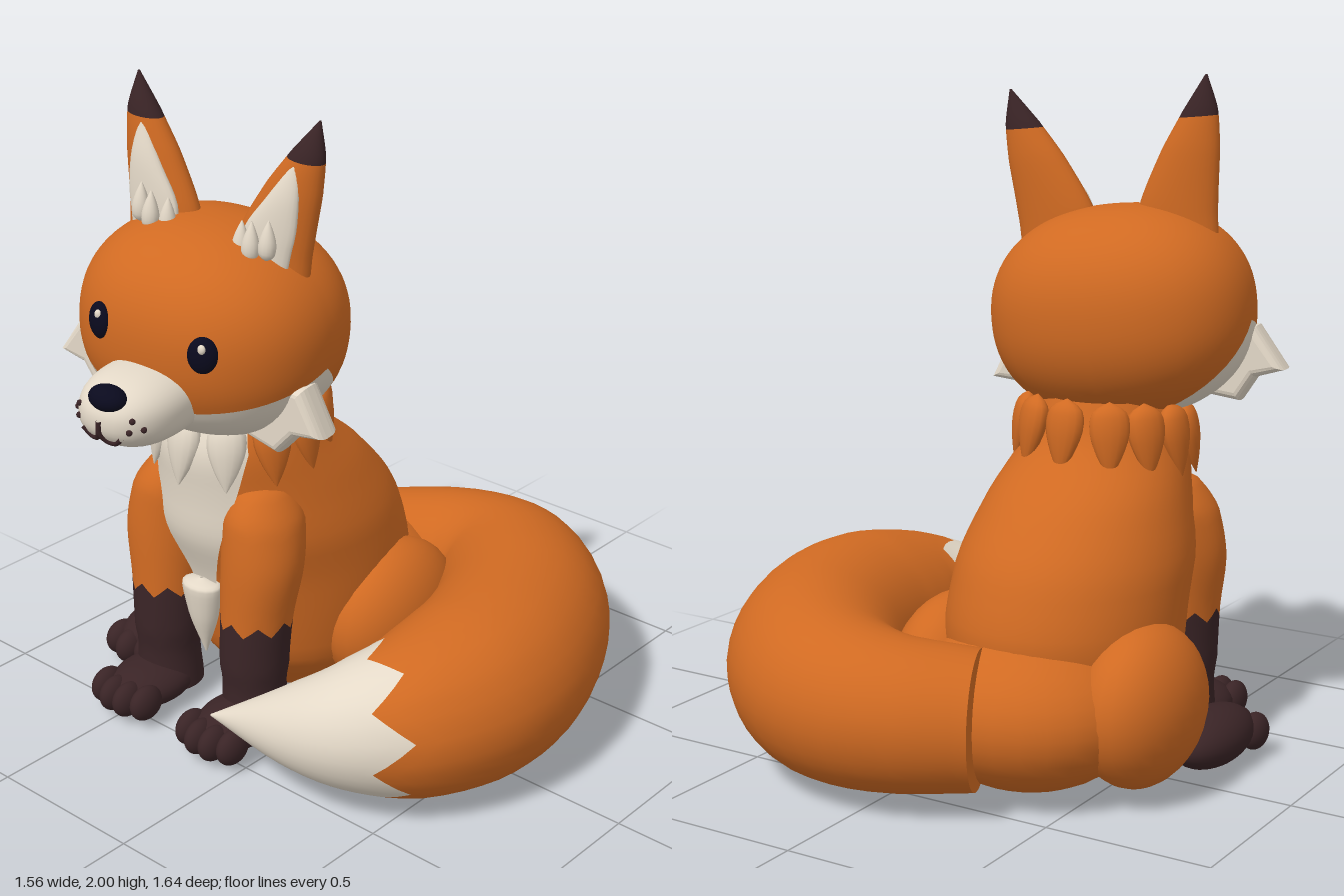
import * as THREE from 'three';
import { mergeVertices } from 'three/addons/utils/BufferGeometryUtils.js';

const V = (x, y, z) => new THREE.Vector3(x, y, z);
const CX = -0.295; // body axis
const { lerp, clamp } = THREE.MathUtils;

// Smooth grid surface: point(u, v), with v running between lo(u) and hi(u)
function surf(point, nu, nv, lo = () => 0, hi = () => 1) {
  const pos = [], idx = [];
  for (let j = 0; j <= nv; j++) for (let i = 0; i <= nu; i++) {
    const u = i / nu;
    pos.push(...point(u, lerp(lo(u), hi(u), j / nv)).toArray());
    if (i < nu && j < nv) {
      const a = j * (nu + 1) + i, b = a + nu + 1;
      idx.push(a, a + 1, b + 1, a, b + 1, b);
    }
  }
  let g = new THREE.BufferGeometry();
  g.setAttribute('position', new THREE.Float32BufferAttribute(pos, 3));
  g.setIndex(idx);
  g = mergeVertices(g, 1e-5);
  g.computeVertexNormals();
  return g;
}

// Upright loft through oval rings [y, cx, cz, rx, rz]
function loft(rings) {
  const mid = new THREE.CatmullRomCurve3(rings.map(r => V(r[1], r[0], r[2])));
  const rad = new THREE.CatmullRomCurve3(rings.map(r => V(r[3], 0, r[4])));
  return (u, v, k = 1) => {
    const a = u * Math.PI * 2, r = rad.getPoint(v);
    return mid.getPoint(v).add(V(Math.sin(a) * r.x * k, 0, Math.cos(a) * r.z * k));
  };
}

// Slightly squared ellipsoid, by azimuth and elevation
function superEllipsoid(c, r, p) {
  return (a, e) => {
    const d = V(Math.sin(a) * Math.cos(e), Math.sin(e), Math.cos(a) * Math.cos(e));
    const n = (Math.abs(d.x) ** p + Math.abs(d.y) ** p + Math.abs(d.z) ** p) ** (1 / p);
    return d.divideScalar(n).multiply(r).add(c);
  };
}

const zigzag = (u, n) => Math.abs(((u * n) % 1) * 2 - 1);

function table(rows, x) {
  const i = Math.max(1, rows.findIndex(r => r[0] >= x));
  const [a, b] = [rows[i - 1], rows[i]];
  return lerp(a[1], b[1], (x - a[0]) / (b[0] - a[0]));
}

export function createModel() {
  const mat = (name, color) => {
    const m = new THREE.MeshStandardMaterial({ color, side: THREE.DoubleSide });
    m.name = name;
    return m;
  };
  const orange = mat('orange fur', 0xd06a22), cream = mat('cream fur', 0xe4d9c8);
  const dark = mat('dark brown fur', 0x3a2426), black = mat('eye black', 0x0a0a1e);

  const root = new THREE.Group();
  root.name = 'fox';
  const head = new THREE.Group();
  head.name = 'head';
  head.position.set(CX, 1.31, 0.28);
  head.rotation.set(0, 0.17, -0.09);
  root.add(head);

  const add = (parent, name, geo, m) => {
    const mesh = new THREE.Mesh(geo, m);
    mesh.name = name;
    parent.add(mesh);
    return mesh;
  };
  const ball = (parent, name, m, x, y, z, rx, ry, rz) => {
    const b = add(parent, name, new THREE.SphereGeometry(1, 28, 18), m);
    b.position.set(x, y, z);
    b.scale.set(rx, ry, rz);
    return b;
  };

  // Torso and chest bib
  const torso = loft([
    [0.05, CX, -0.04, 0.2, 0.2], [0.2, CX, -0.04, 0.31, 0.32], [0.45, CX, -0.045, 0.34, 0.385],
    [0.62, CX, 0.01, 0.335, 0.39], [0.8, CX, 0.09, 0.29, 0.33], [0.95, CX, 0.18, 0.24, 0.245],
    [1.08, CX, 0.18, 0.19, 0.18]]);
  add(root, 'torso', surf(torso, 40, 30), orange);
  add(root, 'chestBib', surf((u, v) => {
    const t = lerp(0.33, 1, v);
    const w = 0.12 + 0.73 * clamp((t - 0.33) / 0.5, 0, 1) ** 1.3;
    return torso((u - 0.5) * w / Math.PI, t, 1.035);
  }, 16, 24), cream);
  add(root, 'bellyTuft', surf(loft([[0.23, CX, 0.36, 0.003, 0.003], [0.36, CX, 0.365, 0.05, 0.04],
    [0.47, CX, 0.37, 0.07, 0.05], [0.49, CX, 0.37, 0.005, 0.005]]), 16, 14), cream);

  // Rump, thighs, legs and feet
  ball(root, 'rump', orange, CX, 0.25, -0.27, 0.35, 0.235, 0.315);
  for (const s of [-1, 1]) {
    const side = s > 0 ? 'left' : 'right';
    ball(root, side + 'Thigh', orange, CX + s * 0.31, 0.27, -0.15, 0.165, 0.235, 0.26);
    ball(root, side + 'HindFoot', dark, CX + s * 0.385, 0.1, 0.15, 0.1, 0.085, 0.19);
    for (const i of [-1, 0, 1])
      ball(root, side + 'HindToe', dark, CX + s * 0.385 + i * 0.064, 0.08, 0.32 - Math.abs(i) * 0.02, 0.04, 0.056, 0.06);

    const leg = loft([[0.06, 0.185, 0.34, 0.105, 0.105], [0.25, 0.185, 0.34, 0.105, 0.105],
      [0.42, 0.19, 0.33, 0.11, 0.11], [0.6, 0.2, 0.31, 0.125, 0.125], [0.73, 0.19, 0.29, 0.115, 0.13],
      [0.82, 0.175, 0.28, 0.07, 0.085], [0.85, 0.17, 0.28, 0.005, 0.005]]
      .map(r => [r[0], CX + s * r[1], ...r.slice(2)]));
    const cuff = u => 0.305 + 0.035 * zigzag(u, 8);
    add(root, side + 'FrontSock', surf(leg, 32, 12, undefined, cuff), dark);
    add(root, side + 'FrontLeg', surf(leg, 32, 20, cuff), orange);
    ball(root, side + 'FrontPaw', dark, CX + s * 0.185, 0.085, 0.42, 0.115, 0.07, 0.15);
    for (const i of [-1.5, -0.5, 0.5, 1.5])
      ball(root, side + 'FrontToe', dark, CX + s * 0.185 + i * 0.057, 0.08, 0.56 - Math.abs(i) * 0.02, 0.036, 0.056, 0.06);
  }

  // Neck ruff of pointed tufts
  const tuftShape = [[0.002, -0.11], [0.035, -0.05], [0.058, 0.02], [0.05, 0.08], [0.001, 0.11]];
  const tuftGeo = new THREE.LatheGeometry(
    new THREE.SplineCurve(tuftShape.map(p => new THREE.Vector2(...p))).getPoints(12), 14);
  for (const deg of [-148, -122, -95, -66, -34, 0, 34, 66, 95, 122, 148, 180]) {
    const a = deg * Math.PI / 180, front = Math.cos(a), white = Math.abs(deg) < 50;
    const t = add(root, white ? 'chestTuft' : 'ruffTuft', tuftGeo, white ? cream : orange);
    t.position.set(CX + Math.sin(a) * 0.245, 0.965 - 0.025 * front, 0.18 + front * 0.25);
    t.rotation.set(-0.2, a, 0, 'YXZ');
    t.scale.set(1, 1, 0.6);
  }

  // Tail, curling round the left side: [x, y, z, radius]
  const tailPts = [[-0.27, 0.26, -0.48, 0.2], [-0.03, 0.27, -0.58, 0.225], [0.17, 0.28, -0.55, 0.25],
    [0.36, 0.285, -0.37, 0.275], [0.48, 0.285, -0.1, 0.283], [0.5, 0.285, 0.1, 0.275],
    [0.45, 0.28, 0.3, 0.24], [0.34, 0.27, 0.43, 0.19], [0.2, 0.25, 0.51, 0.125], [-0.04, 0.22, 0.6, 0.003]];
  const tailMid = new THREE.CatmullRomCurve3(tailPts.map(p => V(p[0], p[1], p[2])));
  const tailRad = new THREE.CatmullRomCurve3(tailPts.map(p => V(p[3], 0, 0)));
  const tail = (u, v, k = 1) => {
    const a = u * Math.PI * 2, r = tailRad.getPoint(v).x * k, up = V(0, 1, 0);
    const out = tailMid.getTangent(v).setY(0).normalize().cross(up);
    return tailMid.getPoint(v).addScaledVector(up, Math.cos(a) * r).addScaledVector(out, Math.sin(a) * r);
  };
  const tailEdge = u => 0.69 + 0.05 * zigzag(u, 7);
  add(root, 'tail', surf(tail, 42, 26, undefined, tailEdge), orange);
  add(root, 'tailTip', surf(tail, 42, 14, tailEdge), cream);
  add(root, 'tailBase', surf((u, v) => tail(u, 0, v), 42, 1), orange);

  // Skull, with cream jaw and cheeks
  const skull = superEllipsoid(V(0, 0, 0), V(0.39, 0.315, 0.35), 2.25);
  const around = u => (u - 0.5) * Math.PI * 2;
  const skullPoint = (u, e) => skull(around(u), e);
  const jawRows = [[0, -0.5], [25, -0.46], [90, -0.13], [140, -1.03], [181, -1.25]];
  const jawEdge = u => table(jawRows, Math.abs(u - 0.5) * 360);
  add(head, 'skull', surf(skullPoint, 72, 30, jawEdge, () => Math.PI / 2), orange);
  add(head, 'jaw', surf(skullPoint, 72, 16, () => -Math.PI / 2, jawEdge), cream);

  // Muzzle, nose and mouth
  const muzzle = superEllipsoid(V(0, -0.13, 0.33), V(0.147, 0.105, 0.215), 2.4);
  add(head, 'muzzle', surf((u, e) => muzzle(around(u), e), 40, 24,
    () => -Math.PI / 2, () => Math.PI / 2), cream);
  ball(head, 'nose', black, 0, -0.065, 0.505, 0.058, 0.037, 0.045);

  for (const s of [-1, 1]) {
    const side = s > 0 ? 'left' : 'right';
    const lip = new THREE.CatmullRomCurve3(
      [[0, 0.1], [0.01, -0.25], [0.13, -0.5], [0.3, -0.52], [0.45, -0.3]].map(([a, e]) => muzzle(a * s, e)));
    add(head, side + 'Lip', new THREE.TubeGeometry(lip, 24, 0.008, 8), dark);
    for (const [a, e] of [[0.62, 0.22], [0.8, -0.02], [0.58, -0.08]]) {
      const p = muzzle(a * s, e);
      ball(head, side + 'WhiskerDot', dark, p.x, p.y, p.z, 0.009, 0.009, 0.009);
    }

    // Eyes
    ball(head, side + 'Eye', black, s * 0.175, 0.048, 0.315, 0.044, 0.055, 0.026).rotation.y = s * 0.4;
    ball(head, side + 'EyeShine', cream, s * 0.175 + 0.008, 0.075, 0.335, 0.012, 0.014, 0.009);

    // Cheek tufts
    const cheek = new THREE.Shape([[0.28, -0.08], [0.37, -0.09], [0.43, -0.185], [0.36, -0.195], [0.31, -0.26], [0.22, -0.24]]
      .map(([x, y]) => new THREE.Vector2(x * s, y)));
    const cheekGeo = new THREE.ExtrudeGeometry(cheek,
      { depth: 0.03, bevelThickness: 0.04, bevelSize: 0.025, bevelSegments: 4 });
    add(head, side + 'CheekTuft', cheekGeo, cream).position.z = 0.07;

    // Ears with dark tips, pale inner faces and tufts
    const flip = r => [r[0], r[1] * s, ...r.slice(2)];
    const ear = loft([[0.2, 0.18, 0, 0.125, 0.055], [0.3, 0.19, 0, 0.12, 0.055], [0.46, 0.238, 0, 0.088, 0.05],
      [0.57, 0.275, 0, 0.052, 0.036], [0.67, 0.302, -0.005, 0.003, 0.003]].map(flip));
    const tipEdge = () => 0.71;
    add(head, side + 'Ear', surf(ear, 28, 18, undefined, tipEdge), orange);
    add(head, side + 'EarTip', surf(ear, 28, 8, tipEdge), dark);
    add(head, side + 'InnerEar', surf(loft([[0.24, 0.185, 0.05, 0.08, 0.025], [0.32, 0.195, 0.05, 0.083, 0.025],
      [0.44, 0.232, 0.045, 0.05, 0.022], [0.56, 0.262, 0.032, 0.003, 0.003]].map(flip)), 20, 14), cream);
    for (const [x, y, z] of [[0.125, 0.3, 0.08], [0.17, 0.315, 0.1], [0.215, 0.325, 0.085]]) {
      const t = add(head, side + 'EarTuft', tuftGeo, cream);
      t.position.set(x * s, y, z);
      t.rotation.z = Math.PI;
      t.scale.set(0.45, 0.55, 0.4);
    }
  }
  return root;
}
